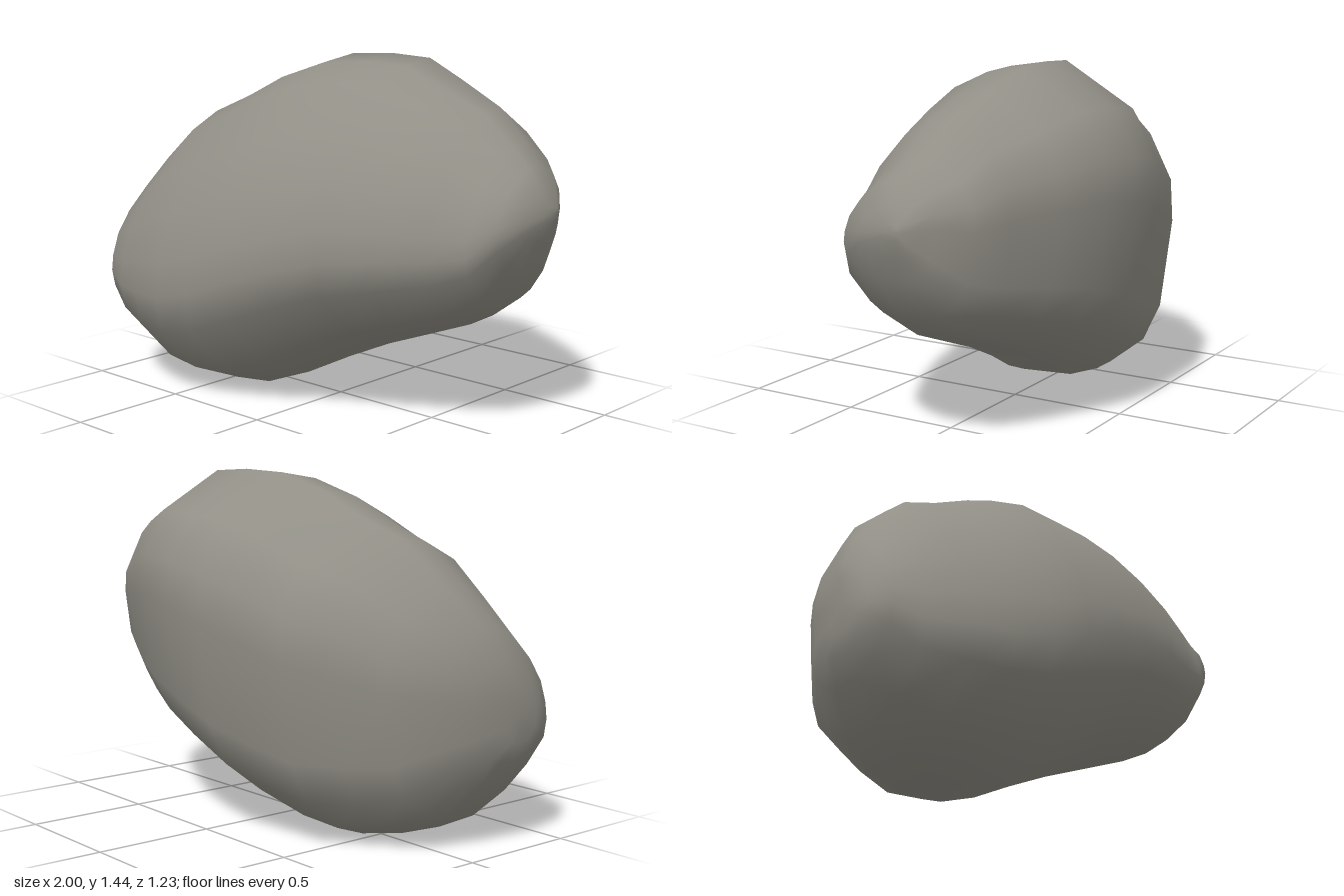
import * as THREE from 'three';

// Section outline [z, y] in a unit square: top, front, bottom, back
const OUTLINE = [
  [-0.29, 1], [0, 0.96], [0.29, 0.84], [0.63, 0.53], [0.86, 0.22], [0.97, -0.08],
  [1, -0.3], [0.95, -0.53], [0.62, -0.84], [0.17, -1], [-0.25, -0.98], [-0.48, -0.91],
  [-0.77, -0.71], [-0.91, -0.45], [-1, 0.15], [-0.98, 0.43], [-0.8, 0.73],
];

// Stations along the length: x, bottom, top, back, front
const STATIONS = [
  [-1, 0.42, 0.64, 0.16, 0.34],
  [-0.98, 0.35, 0.74, 0.02, 0.4],
  [-0.93, 0.26, 0.87, -0.1, 0.48],
  [-0.82, 0.11, 1.03, -0.28, 0.52],
  [-0.65, 0.03, 1.19, -0.39, 0.58],
  [-0.48, 0, 1.27, -0.5, 0.61],
  [-0.3, 0.015, 1.36, -0.535, 0.61],
  [-0.1, 0.09, 1.43, -0.61, 0.59],
  [0.1, 0.19, 1.44, -0.615, 0.53],
  [0.3, 0.28, 1.43, -0.59, 0.48],
  [0.5, 0.355, 1.35, -0.505, 0.41],
  [0.7, 0.43, 1.265, -0.4, 0.31],
  [0.84, 0.53, 1.145, -0.33, 0.24],
  [0.93, 0.68, 1.07, -0.23, 0.18],
  [0.98, 0.79, 0.98, -0.16, 0.08],
  [1, 0.86, 0.92, -0.12, -0.04],
];

// Skin the outline over all stations and close both ends
function loft() {
  const n = OUTLINE.length;
  const last = STATIONS.length - 1;
  const positions = [];
  const index = [];
  const mid = (a, b) => (a + b) / 2;

  for (const [x, y0, y1, z0, z1] of STATIONS) {
    for (const [u, v] of OUTLINE) {
      positions.push(x, mid(y0, y1) + v * (y1 - y0) / 2, mid(z0, z1) + u * (z1 - z0) / 2);
    }
  }
  for (const i of [0, last]) {
    const [x, y0, y1, z0, z1] = STATIONS[i];
    positions.push(x, mid(y0, y1), mid(z0, z1));
  }

  const leftTip = (last + 1) * n;
  for (let j = 0; j < n; j++) {
    const k = (j + 1) % n;
    for (let i = 0; i < last; i++) {
      const a = i * n + j, b = i * n + k;
      index.push(a, b, a + n, b, b + n, a + n);
    }
    index.push(leftTip, k, j);
    index.push(leftTip + 1, last * n + j, last * n + k);
  }

  const geometry = new THREE.BufferGeometry();
  geometry.setAttribute('position', new THREE.Float32BufferAttribute(positions, 3));
  geometry.setIndex(index);
  geometry.computeVertexNormals();
  return geometry;
}

export function createModel() {
  const model = new THREE.Group();
  model.name = 'boulder';
  const stone = new THREE.MeshStandardMaterial({ color: 0x918f86 });
  stone.name = 'warm grey stone';
  const rock = new THREE.Mesh(loft(), stone);
  rock.name = 'rock';
  model.add(rock);
  return model;
}
